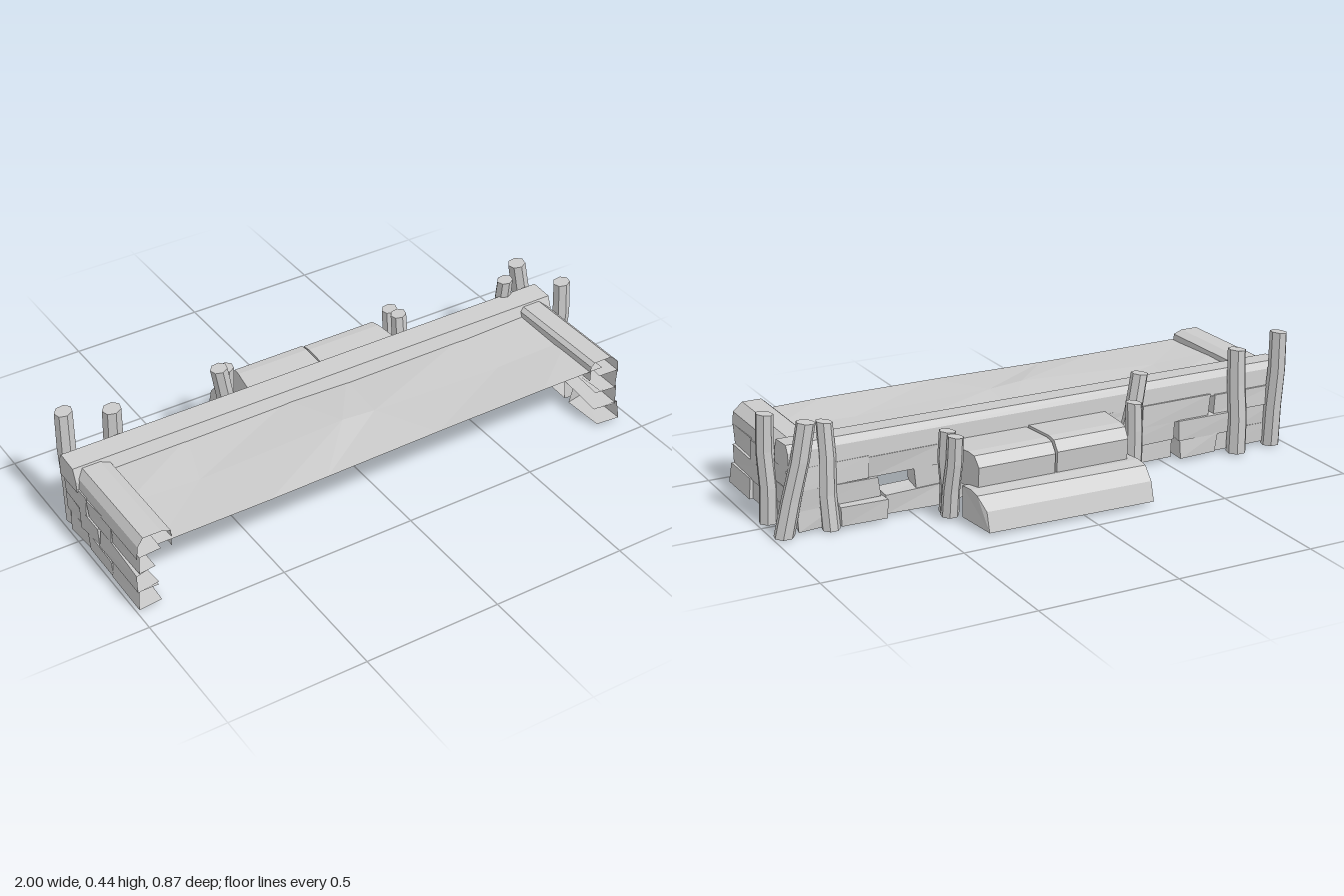
import * as THREE from 'three';

export function createModel() {
  const model = new THREE.Group();
  const mat = new THREE.MeshStandardMaterial({ color: 0xcccccc, flatShading: true, side: THREE.DoubleSide });

  // seeded jitter in -1..1
  let seed = 11;
  const rnd = () => {
    seed = (seed * 16807) % 2147483647;
    return (seed / 2147483647) * 2 - 1;
  };

  const add = (name, geometry, parent = model) => {
    const mesh = new THREE.Mesh(geometry, mat);
    mesh.name = name;
    parent.add(mesh);
    return mesh;
  };
  const group = (name) => {
    const g = new THREE.Group();
    g.name = name;
    model.add(g);
    return g;
  };

  // prism with a side profile; axis 'x' takes [z, y] points, axis 'z' takes [x, y] points
  const prism = (profile, from, to, axis) => {
    const pts = profile.map(([u, v]) => new THREE.Vector2(axis === 'x' ? -u : u, v));
    const geo = new THREE.ExtrudeGeometry(new THREE.Shape(pts), { depth: to - from, bevelEnabled: false });
    geo.translate(0, 0, from);
    if (axis === 'x') geo.rotateY(Math.PI / 2);
    return geo;
  };

  // removes the downward and forward faces, leaving a hollow shell
  const shell = (geo) => {
    const n = geo.attributes.normal;
    const keep = [];
    for (let i = 0; i < n.count; i += 3) {
      if (n.getY(i) > -0.9 && n.getZ(i) < 0.9) keep.push(i, i + 1, i + 2);
    }
    geo.setIndex(keep);
    return geo;
  };

  // rough wall stone, open at its inner face, outer face towards local +z;
  // openEnd is an end face left out as well (0: +x, 1: -x)
  const stone = (u0, u1, y0, y1, depth, bulge, openEnd) => {
    const geo = new THREE.BoxGeometry(2, 2, 2);
    const index = Array.from(geo.index.array).slice(0, 30);
    geo.setIndex(index.filter((_, i) => Math.floor(i / 6) !== openEnd));
    const jitter = Array.from({ length: 8 }, () => [rnd() * 0.008, rnd() * 0.004, rnd() * 0.006]);
    const p = geo.attributes.position;
    for (let i = 0; i < p.count; i++) {
      const [sx, sy, sz] = [p.getX(i), p.getY(i), p.getZ(i)];
      const j = jitter[(sx > 0 ? 1 : 0) + (sy > 0 ? 2 : 0) + (sz > 0 ? 4 : 0)];
      p.setXYZ(i,
        (sx > 0 ? u1 : u0) + j[0] - (sz < 0 ? sx * 0.012 : 0),
        Math.max(0.008, (sy > 0 ? y1 : y0) + j[1]),
        sz > 0 ? bulge + j[2] : -depth + j[2] * 3);
    }
    geo.computeVertexNormals();
    return geo;
  };

  // courses of the back wall, given as [start, end, bulge] along x
  const backWall = group('backWall');
  const courseY = [[0.012, 0.082], [0.082, 0.153], [0.153, 0.228]];
  const backRows = [
    [[-0.97, -0.71, 0.01], [-0.71, -0.55, 0.02], [-0.53, -0.1, 0], [-0.1, 0.38, 0], [0.38, 0.6, 0.005], [0.6, 0.77, 0.04], [0.77, 0.91, 0.01]],
    [[-0.97, -0.8, 0.005], [-0.8, -0.55, 0.02], [-0.53, -0.25, 0.01], [-0.25, 0.1, 0], [0.1, 0.48, 0], [0.62, 0.91, 0.01]],
    [[-0.97, -0.7, 0.015], [-0.68, -0.4, 0.012], [-0.4, -0.05, 0.005], [-0.05, 0.38, 0], [0.38, 0.65, 0.005], [0.65, 0.91, 0.01]],
  ];
  backRows.forEach((row, r) => row.forEach(([a, b, bulge]) => {
    const geo = stone(-b, -a, ...courseY[r], 0.08, bulge);
    geo.rotateY(Math.PI).translate(0, 0, -0.1);
    add('wallStone', geo, backWall);
  }));

  // courses of both side walls, given as [start, end] along z; the front ends are open
  const sideRows = [
    [[-0.06, 0.07], [0.07, 0.24], [0.24, 0.425]],
    [[-0.09, 0.02], [0.02, 0.145], [0.148, 0.422]],
    [[-0.08, 0.075], [0.075, 0.237], [0.237, 0.425]],
  ];
  for (const [name, x, s] of [['leftWall', 0.928, 1], ['rightWall', -0.985, -1]]) {
    const wall = group(name);
    sideRows.forEach((row, r) => row.forEach(([a, b], k) => {
      const bulge = r === 0 && k === 2 && s > 0 ? 0.018 : 0.004 + 0.004 * rnd();
      const geo = stone(s > 0 ? -b : a, s > 0 ? -a : b, ...courseY[r], 0.07, bulge, k === 2 ? (s > 0 ? 1 : 0) : -1);
      geo.rotateY(s * Math.PI / 2).translate(x, 0, 0);
      add('wallStone', geo, wall);
    }));
  }

  // bevelled coping beams round three sides
  add('backBeam', prism(
    [[0.018, 0.22], [0.018, 0.26], [0, 0.305], [-0.085, 0.31], [-0.1, 0.285], [-0.105, 0.22]], -0.998, 0.935, 'x'));
  add('leftBeam', shell(prism(
    [[0.805, 0.225], [0.805, 0.285], [0.82, 0.298], [0.89, 0.298], [0.925, 0.268], [0.93, 0.22]], 0, 0.423, 'z')));
  add('rightBeam', shell(prism(
    [[-0.865, 0.225], [-0.865, 0.285], [-0.9, 0.298], [-0.965, 0.298], [-0.985, 0.268], [-0.99, 0.22]], 0, 0.423, 'z')));

  // uneven floor sheet with a hump near the middle
  const floor = new THREE.PlaneGeometry(1.78, 0.425, 5, 2).rotateX(-Math.PI / 2).translate(-0.03, 0.264, 0.213);
  const fp = floor.attributes.position;
  for (let i = 0; i < fp.count; i++) {
    const x = fp.getX(i), z = fp.getZ(i);
    const inner = Math.abs(x + 0.03) < 0.8;
    const middle = z > 0.1 && z < 0.3;
    const hump = middle ? 0.022 * Math.exp(-(((x + 0.15) / 0.25) ** 2)) : 0;
    fp.setY(i, fp.getY(i) + hump + rnd() * (inner && middle ? 0.014 : 0.006));
    if (inner) fp.setX(i, x + rnd() * 0.12);
    if (z > 0.4) fp.setZ(i, 0.425 - 0.01 * x);
  }
  floor.computeVertexNormals();
  add('floor', floor);

  // hollow steps at the back: two upper slabs narrowing outwards and one long lower slab
  const steps = group('steps');
  const upper = [[-0.1, 0.12], [-0.1, 0.235], [-0.25, 0.245], [-0.285, 0.24], [-0.312, 0.205], [-0.305, 0.12]];
  for (const [x0, x1, drop, outer] of [[-0.252, 0.052, 0, -0.252], [0.06, 0.378, 0.004, 0.378]]) {
    const geo = shell(prism(upper.map(([z, y]) => [z, y - drop]), x0, x1, 'x'));
    const p = geo.attributes.position;
    for (let i = 0; i < p.count; i++) {
      if (Math.abs(p.getX(i) - outer) < 0.01) p.setX(i, outer + Math.sign(outer) * (p.getZ(i) + 0.1) * 0.14);
    }
    add('upperStep', geo, steps);
  }
  const lower = shell(prism(
    [[-0.25, 0.012], [-0.25, 0.125], [-0.33, 0.132], [-0.375, 0.125], [-0.415, 0.08], [-0.434, 0.012]],
    -0.255, 0.38, 'x'));
  const lp = lower.attributes.position;
  for (let i = 0; i < lp.count; i++) {
    if (lp.getX(i) > 0 && lp.getZ(i) < -0.3) lp.setZ(i, lp.getZ(i) + 0.015);
    if (lp.getX(i) > 0 && lp.getZ(i) < -0.38) lp.setX(i, 0.365);
  }
  add('lowerStep', lower, steps);

  // leaning posts: base, top, radius
  const posts = group('posts');
  const postList = [
    [[-0.95, 0, -0.115], [-0.952, 0.435, -0.14], 0.035],
    [[-0.785, 0.005, -0.14], [-0.785, 0.39, -0.125], 0.037],
    [[-0.285, 0.01, -0.16], [-0.36, 0.375, -0.155], 0.034],
    [[-0.285, 0.012, -0.24], [-0.29, 0.303, -0.235], 0.033],
    [[0.41, 0.012, -0.215], [0.4, 0.3, -0.245], 0.032],
    [[0.4, 0.012, -0.18], [0.405, 0.305, -0.195], 0.032],
    [[0.8, 0.005, -0.12], [0.8, 0.372, -0.09], 0.032],
    [[0.962, 0.005, -0.11], [0.88, 0.395, -0.13], 0.036],
    [[0.955, 0, 0.045], [0.955, 0.383, 0.043], 0.034],
  ];
  postList.forEach(([base, top, radius]) => {
    const geo = new THREE.CylinderGeometry(1, 1, 1, 7, 3);
    const a = new THREE.Vector3(...base), b = new THREE.Vector3(...top);
    const bend = [0, 1, 2, 3].map((k) => (k % 3 ? rnd() * 0.004 : 0));
    const p = geo.attributes.position;
    for (let i = 0; i < p.count; i++) {
      const t = p.getY(i) + 0.5;
      const c = a.clone().lerp(b, t);
      const off = bend[Math.round(t * 3)];
      const r = radius * (1 - 0.1 * t);
      p.setXYZ(i, c.x + p.getX(i) * r + off, c.y + (t > 0.9 ? p.getX(i) * 0.004 : 0), c.z + p.getZ(i) * r + off);
    }
    geo.computeVertexNormals();
    add('post', geo, posts);
  });

  return model;
}
